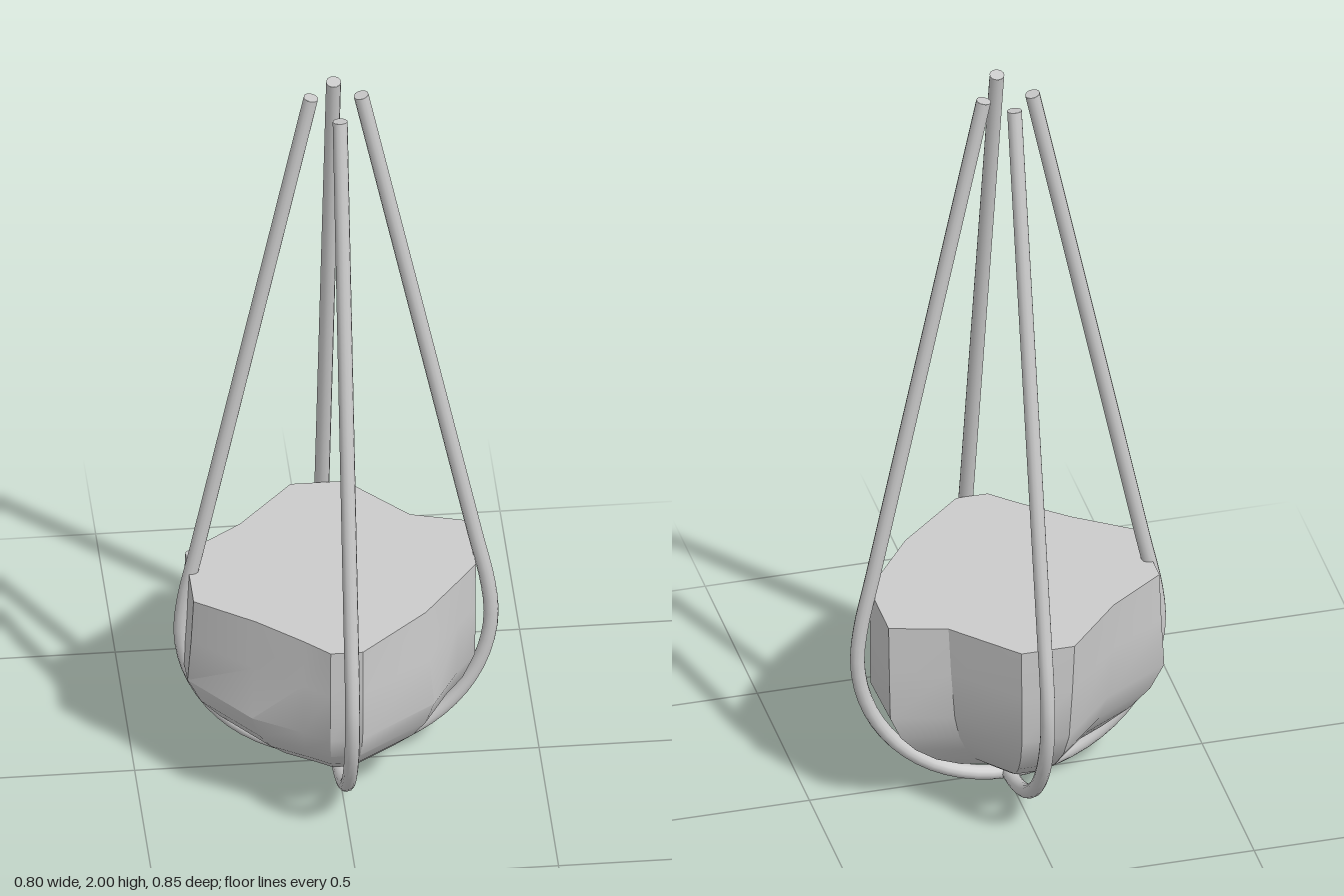
import * as THREE from 'three';
import { toCreasedNormals } from 'three/addons/utils/BufferGeometryUtils.js';

const ROPE_RADIUS = 0.0185;

// U-shaped rope in the XY plane: straight legs joined by a round cradle
function makeRope(name, topX, radius, material) {
  const points = [];
  const top = new THREE.Vector3(topX, 1.996, 0);
  const centreY = 0.415, tilt = 0.21, steps = 14;
  const arc = [];
  for (let i = 0; i <= steps; i++) {
    const a = tilt - (i / steps) * (Math.PI + 2 * tilt);
    arc.push(new THREE.Vector3(radius * Math.cos(a), centreY + 0.395 * Math.sin(a), 0));
  }
  const leg = [0, 0.3, 0.6, 0.9].map((t) => top.clone().lerp(arc[0], t));
  const mirrored = leg.map((p) => new THREE.Vector3(-p.x, p.y, 0)).reverse();
  points.push(...leg, ...arc, ...mirrored);
  const curve = new THREE.CatmullRomCurve3(points, false, 'centripetal');

  const group = new THREE.Group();
  group.name = name;
  const tube = new THREE.Mesh(new THREE.TubeGeometry(curve, 110, ROPE_RADIUS, 12), material);
  tube.name = name + 'Strand';
  group.add(tube);

  // Cut ends
  for (const end of [0, 1]) {
    const cap = new THREE.Mesh(new THREE.CircleGeometry(ROPE_RADIUS, 12), material);
    cap.name = name + 'End';
    const outward = curve.getTangent(end).multiplyScalar(end ? 1 : -1);
    cap.quaternion.setFromUnitVectors(new THREE.Vector3(0, 0, 1), outward);
    cap.position.copy(curve.getPoint(end));
    group.add(cap);
  }
  return group;
}

// Irregular faceted bowl lofted from the rim outline to the bulging belly outline, then to the base
function makeBowl(material) {
  const rim = [
    [-0.08, -0.36], [0.055, -0.36], [0.2, -0.205], [0.342, -0.165], [0.342, 0.018],
    [0.29, 0.09], [0.2, 0.21], [0.03, 0.362], [-0.05, 0.362], [-0.11, 0.305],
    [-0.22, 0.21], [-0.365, 0.11], [-0.365, -0.1], [-0.22, -0.205],
  ];
  const belly = [
    [-0.07, -0.345], [0.05, -0.345], [0.18, -0.19], [0.335, -0.155], [0.34, 0.018],
    [0.29, 0.09], [0.22, 0.218], [0.03, 0.352], [-0.05, 0.352], [-0.115, 0.308],
    [-0.232, 0.237], [-0.375, 0.06], [-0.38, -0.09], [-0.21, -0.195],
  ];
  // y, blend from rim to belly, scale
  const rows = [
    [0.583, 0, 1], [0.45, 0.4, 1], [0.31, 1, 1], [0.24, 1, 0.91],
    [0.185, 1, 0.78], [0.13, 1, 0.6], [0.085, 1, 0.39], [0.055, 1, 0.14],
  ];
  const n = rim.length, pos = [], index = [];
  for (const [y, t, s] of rows) {
    for (let i = 0; i < n; i++) {
      const x = THREE.MathUtils.lerp(rim[i][0], belly[i][0], t);
      const z = THREE.MathUtils.lerp(rim[i][1], belly[i][1], t);
      pos.push(x * s, y, z * s);
    }
  }
  const last = (rows.length - 1) * n, topCentre = rows.length * n;
  pos.push(0, rows[0][0], 0, 0, 0.05, 0);
  for (let i = 0; i < n; i++) {
    const j = (i + 1) % n;
    for (let r = 0; r < rows.length - 1; r++) {
      const a = r * n + i, b = r * n + j;
      index.push(a, b, b + n, a, b + n, a + n);
    }
    index.push(topCentre, j, i, topCentre + 1, last + i, last + j);
  }
  const geometry = new THREE.BufferGeometry();
  geometry.setAttribute('position', new THREE.Float32BufferAttribute(pos, 3));
  geometry.setIndex(index);
  const mesh = new THREE.Mesh(toCreasedNormals(geometry, 0.5), material);
  mesh.name = 'bowl';
  return mesh;
}

export function createModel() {
  const model = new THREE.Group();
  model.name = 'hangingPlanter';
  const material = new THREE.MeshStandardMaterial({ color: 0xcccccc });

  model.add(makeBowl(material));

  const sideRope = makeRope('sideRope', 0.062, 0.384, material);
  sideRope.position.z = -0.022;
  model.add(sideRope);

  const frontBackRope = makeRope('frontBackRope', 0.084, 0.406, material);
  frontBackRope.rotation.y = Math.PI / 2;
  model.add(frontBackRope);

  return model;
}
